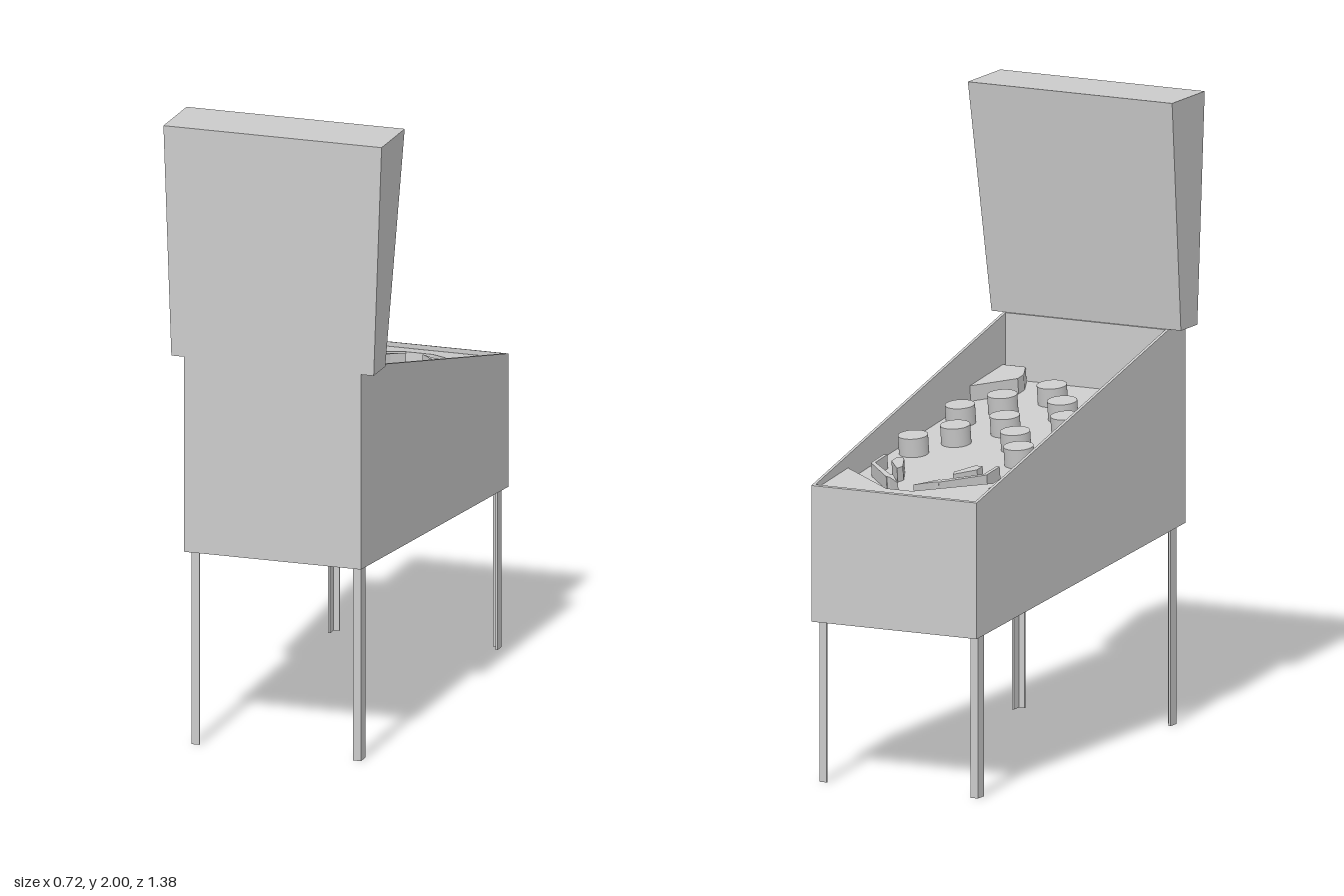
import * as THREE from 'three';

const material = new THREE.MeshStandardMaterial({ color: 0xcccccc, flatShading: true });
const smooth = new THREE.MeshStandardMaterial({ color: 0xcccccc });

function add(parent, name, geometry, mat = material) {
  const mesh = new THREE.Mesh(geometry, mat);
  mesh.name = name;
  parent.add(mesh);
  return mesh;
}

const toShape = (points, sx, sy) =>
  new THREE.Shape(points.map(([a, b]) => new THREE.Vector2(a * sx, b * sy)));

// Side profile of [z, y] points, extruded across x
function across(points, x0, x1) {
  const g = new THREE.ExtrudeGeometry(toShape(points, -1, 1), { depth: x1 - x0, bevelEnabled: false });
  return g.rotateY(Math.PI / 2).translate(x0, 0, 0);
}

// Plan outline of [x, z] points, extruded upward
function upward(points, height) {
  const g = new THREE.ExtrudeGeometry(toShape(points, 1, -1), { depth: height, bevelEnabled: false });
  return g.rotateX(-Math.PI / 2);
}

const floorY = (z) => 0.976 + 0.13 * z;
const bottomY = (z) => 0.57 + 0.0876 * z;

function buildCabinet() {
  const cabinet = new THREE.Group();
  cabinet.name = 'cabinet';
  const profile = [[-0.685, 0.51], [0.69, 0.63], [0.69, 1.26], [0.58, 1.26], [-0.685, 0.94]];
  add(cabinet, 'leftWall', across(profile, 0.28, 0.29));
  add(cabinet, 'rightWall', across(profile, -0.29, -0.28));
  // Solid body under the playfield, with low lip and raised rear deck
  add(cabinet, 'body', across([
    [-0.685, 0.51], [0.69, 0.63], [0.69, 1.26], [0.575, 1.26],
    [0.575, floorY(0.575)], [-0.675, floorY(-0.675)], [-0.675, 0.9425], [-0.685, 0.94],
  ], -0.28, 0.28));
  return cabinet;
}

function buildPlayfield() {
  const field = new THREE.Group();
  field.name = 'playfield';
  field.position.y = floorY(0);
  field.rotation.x = -Math.atan(0.13);
  const mid = 0.025;

  // Drain apron running into the ball lane divider
  add(field, 'apronAndLaneDivider', upward([
    [-0.28, -0.67], [0.28, -0.67], [0.28, -0.46], [0.07, -0.605], [-0.02, -0.605],
    [-0.228, -0.46], [-0.228, 0.39], [-0.143, 0.445], [-0.148, 0.453],
    [-0.24, 0.4], [-0.24, -0.515], [-0.28, -0.515],
  ], 0.04));

  // Corner deflectors at the high end
  add(field, 'cornerWedge', upward([
    [0.28, 0.35], [0.17, 0.46], [0.17, 0.5], [0.2, 0.57], [0.28, 0.57],
  ], 0.05));
  const arc = [[-0.28, 0.57]];
  for (let i = 0; i <= 8; i++) {
    const a = (i / 8) * Math.PI / 2;
    arc.push([-0.11 - 0.17 * Math.cos(a), 0.4 + 0.17 * Math.sin(a)]);
  }
  add(field, 'laneCurve', upward(arc, 0.05));

  // Mirrored flippers, guides and slingshots
  const outlines = {
    flipper: [[0.027, -0.56], [0.078, -0.518], [0.091, -0.513], [0.094, -0.498],
      [0.083, -0.49], [0.072, -0.5], [0.063, -0.515]],
    inlaneGuide: [[0.092, -0.515], [0.203, -0.406], [0.203, -0.32], [0.191, -0.32],
      [0.191, -0.399], [0.08, -0.5]],
    slingshot: [[0.098, -0.432], [0.15, -0.37], [0.15, -0.333], [0.125, -0.333], [0.09, -0.408]],
  };
  for (const side of [1, -1]) {
    for (const [name, points] of Object.entries(outlines)) {
      add(field, name, upward(points.map(([x, z]) => [mid + side * x, z]), 0.045));
    }
  }

  // Bumpers
  const spots = [[0.185, -0.165], [0.105, -0.036], [0, 0.094],
    [0.185, 0.147], [0.105, 0.277], [0, 0.407]];
  for (const [dx, z] of spots) {
    for (const side of dx ? [1, -1] : [1]) {
      add(field, 'bumper', new THREE.CylinderGeometry(0.047, 0.047, 0.06, 32), smooth)
        .position.set(mid + side * dx, 0.03, z + 0.006);
    }
  }
  return field;
}

// Tapered box, leaning outward toward the top
function buildBackbox() {
  const g = new THREE.BoxGeometry(2, 0.74, 1);
  const p = g.attributes.position;
  for (let i = 0; i < p.count; i++) {
    const top = p.getY(i) > 0;
    p.setX(i, p.getX(i) * (top ? 0.358 : 0.332));
    p.setZ(i, p.getZ(i) > 0 ? 0.69 : top ? 0.475 : 0.582);
  }
  g.translate(0, 1.63, 0);
  g.computeVertexNormals();
  return g;
}

export function createModel() {
  const model = new THREE.Group();
  model.name = 'pinballTable';
  model.add(buildCabinet(), buildPlayfield());
  add(model, 'backbox', buildBackbox());

  // Angle-section legs with the corner facing out
  for (const sx of [1, -1]) {
    for (const sz of [1, -1]) {
      const outline = [[0.278, 0.655], [0.278, 0.615], [0.271, 0.615],
        [0.271, 0.648], [0.252, 0.648], [0.252, 0.655]];
      add(model, 'leg', upward(outline.map(([x, z]) => [x * sx, z * sz]), bottomY(sz * 0.635) + 0.005));
    }
  }
  return model;
}
